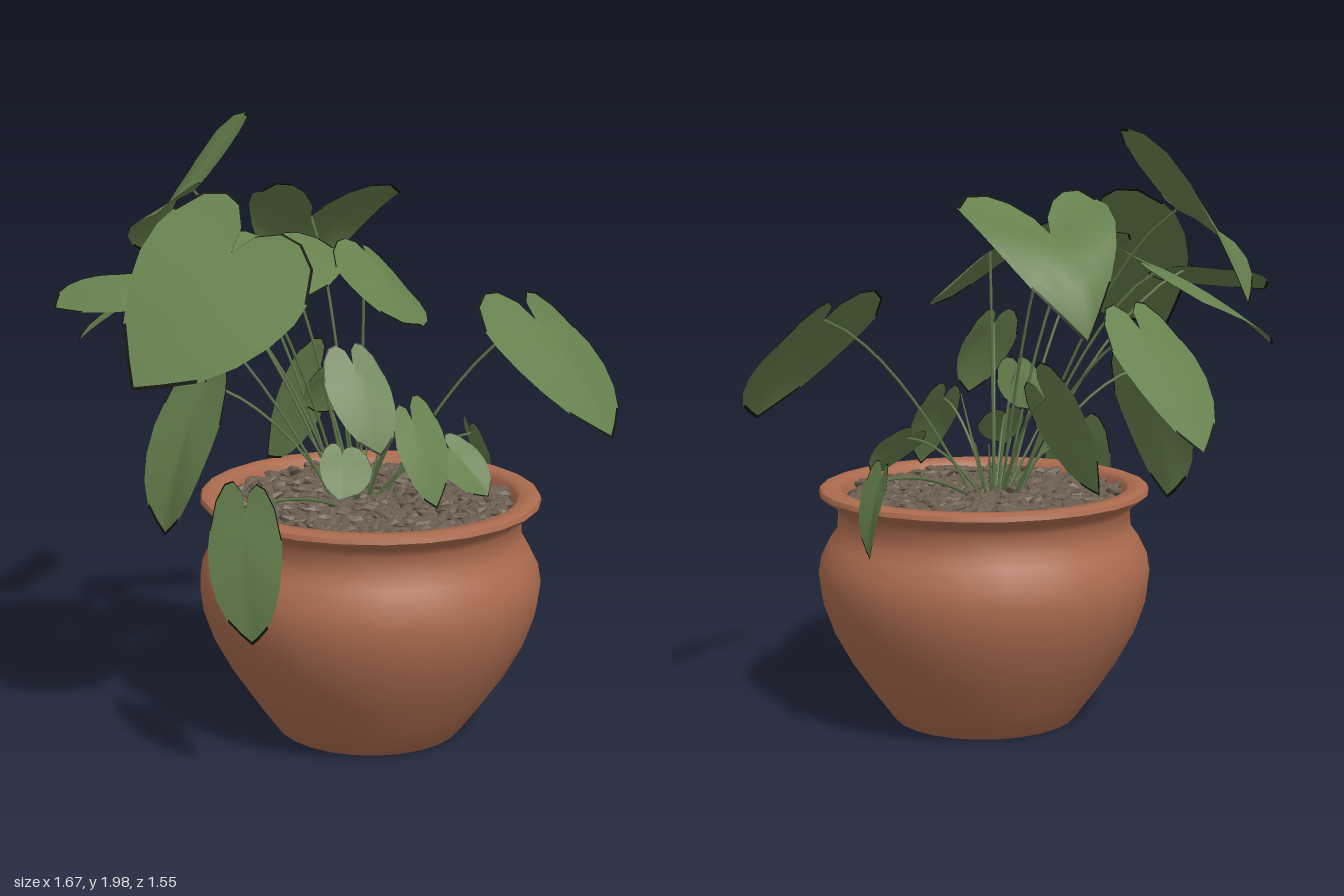
import * as THREE from 'three';
import { mergeGeometries, toCreasedNormals } from 'three/addons/utils/BufferGeometryUtils.js';

const terracotta = new THREE.MeshStandardMaterial({ color: 0xab6b4e });
const leafGreen = new THREE.MeshStandardMaterial({ color: 0x66804d, side: THREE.DoubleSide });
const witheredEdge = new THREE.MeshStandardMaterial({ color: 0x12130d, side: THREE.DoubleSide });
const stemGreen = new THREE.MeshStandardMaterial({ color: 0x5c7447 });
const soilBrown = new THREE.MeshStandardMaterial({ color: 0x4c4137 });
const chipBrown = new THREE.MeshStandardMaterial({ color: 0x6a5d4f });

const POT_X = 0.11, POT_Z = 0.225;
const V = (p) => new THREE.Vector3(...p);

let seed = 7;
function random() {
  seed = (seed * 16807) % 2147483647;
  return seed / 2147483647;
}

function add(group, name, geometry, material) {
  const mesh = new THREE.Mesh(geometry, material);
  mesh.name = name;
  group.add(mesh);
  return mesh;
}

// Half outline of a heart-shaped blade, from notch to tip: [along, across]
const HALF = [[0, 0], [-0.17, 0.1], [-0.28, 0.32], [-0.29, 0.55], [-0.2, 0.8], [0, 0.97],
  [0.15, 1], [0.35, 0.94], [0.55, 0.79], [0.75, 0.54], [0.9, 0.23], [1, 0]];
const OUTLINE = [...HALF, ...HALF.slice(1, -1).reverse().map(([u, v]) => [u, -v])];
const RINGS = [0.3, 0.6, 0.85, 0.97, 1];
const CENTRE = 0.15;

// Blade spanned by its notch, its tip and the widest point of each half;
// the second geometry group is the withered rim at the lobes and the tip
function leafGeometry(base, tip, sideA, sideB, bow) {
  const axis = tip.clone().sub(base);
  const middle = base.clone().addScaledVector(axis, CENTRE);
  const a = sideA.clone().sub(middle), b = sideB.clone().sub(middle);
  const normal = axis.clone().cross(a.clone().sub(b)).normalize();
  if (normal.y < 0) normal.negate();
  const arch = bow * axis.length();
  const positions = [], blade = [], rim = [], n = OUTLINE.length;
  const push = (u, v) => {
    const p = base.clone().addScaledVector(axis, u).addScaledVector(v > 0 ? a : b, Math.abs(v));
    p.addScaledVector(normal, arch * (u > 0 ? u * (1 - u) : u * 0.3));
    positions.push(p.x, p.y, p.z);
  };
  push(CENTRE, 0);
  for (const s of RINGS) {
    for (const [u, v] of OUTLINE) push(CENTRE + (u - CENTRE) * s, v * s);
  }
  for (let r = 0; r < RINGS.length; r++) {
    for (let i = 0; i < n; i++) {
      const j = (i + 1) % n, outer = 1 + r * n, inner = outer - n;
      const u = (OUTLINE[i][0] + OUTLINE[j][0]) / 2;
      const target = r === RINGS.length - 1 && (u > 0.8 || u < -0.05) ? rim : blade;
      if (r === 0) target.push(0, outer + i, outer + j);
      else target.push(inner + i, outer + i, outer + j, inner + i, outer + j, inner + j);
    }
  }
  const g = new THREE.BufferGeometry();
  g.setAttribute('position', new THREE.Float32BufferAttribute(positions, 3));
  g.setIndex([...blade, ...rim]);
  g.addGroup(0, blade.length, 0);
  g.addGroup(blade.length, rim.length, 1);
  g.computeVertexNormals();
  return g;
}

// One leaf with its arching stalk from the crown
function addLeaf(group, name, base, tip, sideA, sideB, bow = 0.2) {
  const leaf = new THREE.Group();
  leaf.name = name;
  const end = V(base);
  const start = new THREE.Vector3(0.08 + end.x * 0.12, 0.75, 0.17 + end.z * 0.12);
  const bend = start.clone().lerp(end, 0.55);
  bend.y = start.y + (end.y - start.y) * 0.8 + 0.04;
  const curve = new THREE.QuadraticBezierCurve3(start, bend, end);
  add(leaf, 'stalk', new THREE.TubeGeometry(curve, 10, 0.005, 5), stemGreen);
  add(leaf, 'blade', leafGeometry(end, V(tip), V(sideA), V(sideB), bow), [leafGreen, witheredEdge]);
  group.add(leaf);
}

function buildPot() {
  const pot = new THREE.Group();
  pot.name = 'pot';
  pot.position.set(POT_X, 0, POT_Z);
  const profile = [[0, 0.012], [0.28, 0.012], [0.295, 0], [0.31, 0.005], [0.38, 0.1], [0.455, 0.21],
    [0.515, 0.32], [0.55, 0.42], [0.56, 0.5], [0.55, 0.56], [0.52, 0.62], [0.495, 0.655],
    [0.49, 0.72], [0.505, 0.745], [0.54, 0.765], [0.555, 0.78], [0.55, 0.795], [0.53, 0.802],
    [0.49, 0.8], [0.475, 0.785], [0.465, 0.72]].map(([x, y]) => new THREE.Vector2(x, y));
  add(pot, 'potBody', toCreasedNormals(new THREE.LatheGeometry(profile, 26), 0.75), terracotta);

  const soil = add(pot, 'soil', new THREE.CircleGeometry(0.475, 26), soilBrown);
  soil.rotation.x = -Math.PI / 2;
  soil.position.y = 0.757;

  // Bark chips spread in a spiral over the soil
  const chips = [], count = 480;
  for (let i = 0; i < count; i++) {
    const chip = new THREE.IcosahedronGeometry(1, 0);
    chip.scale(0.036 + random() * 0.014, 0.015, 0.018 + random() * 0.007);
    chip.rotateX((random() - 0.5) * 1.2);
    chip.rotateZ((random() - 0.5) * 0.8);
    chip.rotateY(random() * Math.PI * 2);
    const r = 0.445 * Math.sqrt((i + 0.5) / count), angle = i * 2.39996;
    chip.translate(r * Math.cos(angle), 0.762 + random() * 0.018, r * Math.sin(angle));
    chips.push(chip);
  }
  add(pot, 'barkChips', mergeGeometries(chips), chipBrown);
  return pot;
}

function buildPlant() {
  const plant = new THREE.Group();
  plant.name = 'plant';
  const leaf = (...args) => addLeaf(plant, ...args);
  // Tall leaves
  leaf('topBackLeaf', [-0.2, 1.73, -0.39], [-0.17, 1.46, -0.76], [0.0, 1.95, -0.43], [-0.41, 1.64, -0.31], 0.5);
  leaf('backLeaf', [0.1, 1.65, -0.13], [0.16, 1.33, -0.4], [0.36, 1.69, 0.0], [-0.12, 1.71, -0.12], 0.85);
  leaf('largeRightLeaf', [-0.41, 1.62, 0.25], [-0.81, 1.26, 0.37], [-0.53, 1.68, 0.0], [-0.38, 1.44, 0.58], 0.18);
  leaf('backRightLeaf', [-0.33, 1.52, -0.15], [-0.65, 1.27, -0.36], [-0.39, 1.39, -0.39], [-0.46, 1.5, 0.0], 0.25);
  leaf('farRightLeaf', [-0.56, 1.5, -0.01], [-0.83, 1.43, -0.13], [-0.64, 1.5, -0.2], [-0.64, 1.44, 0.12]);
  leaf('frontLeftLeaf', [0.57, 1.36, 0.48], [0.68, 1.01, 0.75], [0.83, 1.24, 0.42], [0.34, 1.3, 0.58]);
  leaf('upperMiddleLeaf', [-0.15, 1.6, 0.05], [-0.2, 1.46, 0.3], [0.08, 1.55, 0.08], [-0.37, 1.59, 0.06]);
  leaf('upperFrontLeaf', [0.1, 1.58, 0.2], [0.04, 1.4, 0.52], [0.21, 1.42, 0.34], [-0.09, 1.53, 0.36]);
  // Middle leaves
  leaf('middleBackLeaf', [-0.13, 1.35, -0.3], [-0.11, 0.99, -0.64], [0.03, 1.24, -0.4], [-0.29, 1.25, -0.37], 0.22);
  leaf('frontRightLeaf', [-0.15, 1.3, 0.53], [-0.13, 1.04, 0.66], [-0.05, 1.22, 0.58], [-0.25, 1.21, 0.55]);
  leaf('sideRightLeaf', [-0.39, 1.17, 0.03], [-0.55, 0.7, 0.05], [-0.49, 1.02, -0.11], [-0.45, 1.0, 0.2]);
  leaf('innerBackLeaf', [0.09, 1.12, -0.09], [0.0, 0.82, -0.26], [0.1, 1.15, -0.25], [0.03, 0.97, 0.0], 0.05);
  leaf('innerLeaf', [0, 1.2, 0.18], [-0.02, 1.05, 0.1], [0.05, 1.12, 0.22], [-0.05, 1.13, 0.08]);
  // Low leaves
  leaf('lowFrontLeaf', [0.14, 1.07, 0.42], [0.13, 0.82, 0.58], [0.25, 1.02, 0.42], [0.04, 0.97, 0.5]);
  leaf('smallLeftLeaf', [0.3, 0.95, 0.4], [0.37, 0.81, 0.52], [0.39, 0.94, 0.42], [0.22, 0.89, 0.48]);
  leaf('smallRightLeaf', [-0.12, 0.99, 0.42], [-0.18, 0.87, 0.5], [-0.06, 0.94, 0.5], [-0.2, 0.97, 0.42]);
  leaf('hangingRightLeaf', [-0.5, 0.88, 0.49], [-0.54, 0.5, 0.6], [-0.58, 0.75, 0.41], [-0.46, 0.76, 0.65]);
  leaf('hangingLeftLeaf', [0.63, 0.89, 0.05], [0.73, 0.67, -0.04], [0.7, 0.85, -0.08], [0.63, 0.84, 0.15]);

  // Bare shoots around the crown
  for (let i = 0; i < 6; i++) {
    const angle = i * 2.4, h = 0.2 + random() * 0.25;
    const shoot = new THREE.CylinderGeometry(0.002, 0.007, h, 5);
    shoot.translate(0, h / 2, 0);
    const mesh = add(plant, 'shoot', shoot, stemGreen);
    mesh.position.set(0.09 + 0.03 * Math.cos(angle), 0.75, 0.19 + 0.03 * Math.sin(angle));
    mesh.rotation.set(0.35 * Math.sin(angle), 0, 0.15 - 0.4 * Math.cos(angle));
  }
  return plant;
}

export function createModel() {
  const model = new THREE.Group();
  model.name = 'pottedPlant';
  model.add(buildPot(), buildPlant());
  return model;
}
